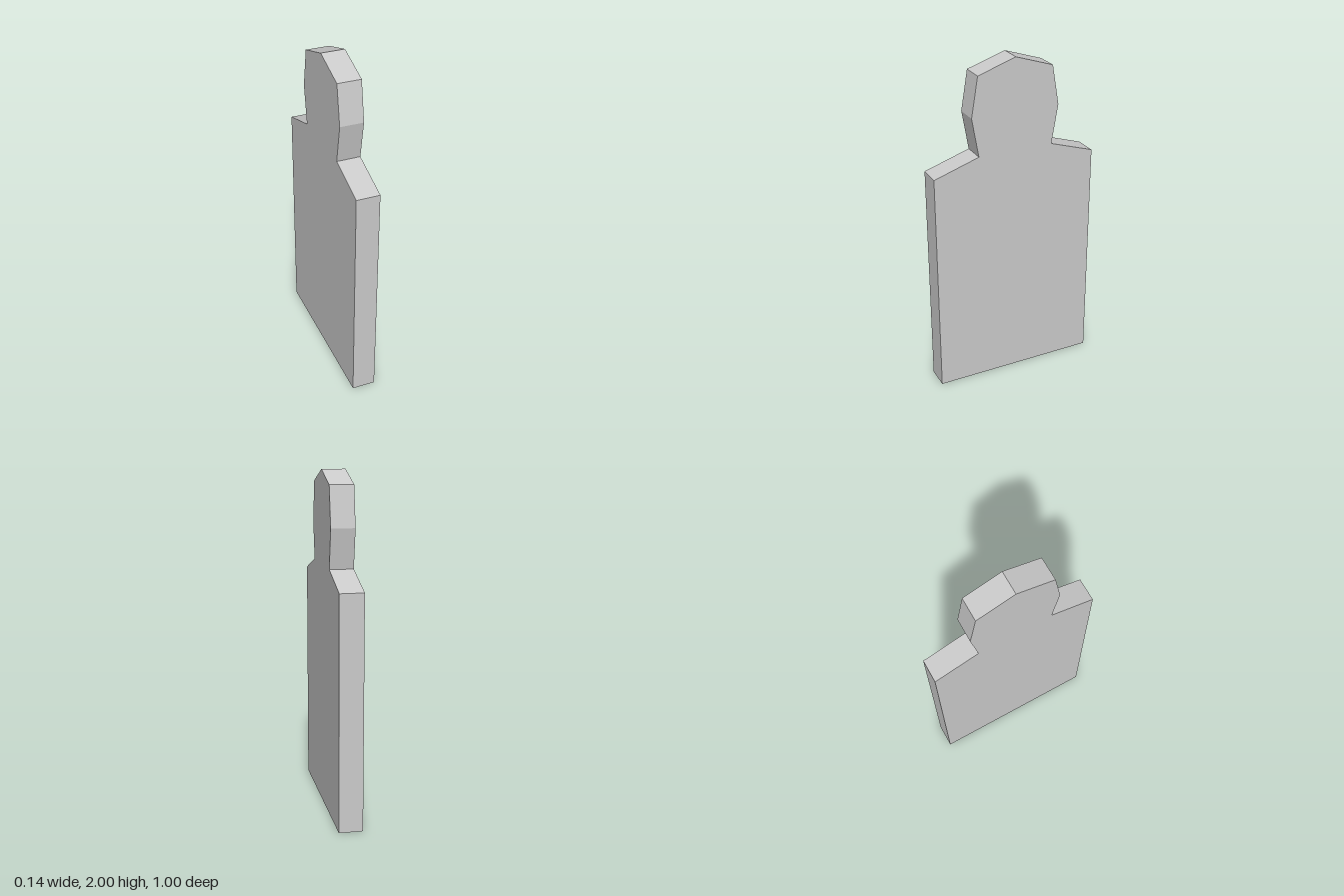
import * as THREE from 'three';

export function createModel() {
  const group = new THREE.Group();
  group.name = 'silhouetteTarget';
  const thickness = 0.14;

  // Half outline of torso, shoulder and head: [half width, height]
  const half = [[0.5, 0], [0.5, 1.37], [0.228, 1.458], [0.268, 1.69], [0.228, 1.925]];
  const mirrored = half.map(([w, y]) => [-w, y]).reverse();
  const outline = [...half, [0, 2], ...mirrored].map(([w, y]) => new THREE.Vector2(w, y));

  // Flat board, extruded and turned so its broad faces look along x
  const geometry = new THREE.ExtrudeGeometry(new THREE.Shape(outline), {
    depth: thickness,
    bevelEnabled: false,
  });
  geometry.translate(0, 0, -thickness / 2);
  geometry.rotateY(Math.PI / 2);

  const board = new THREE.Mesh(
    geometry,
    new THREE.MeshStandardMaterial({ color: 0xcccccc, flatShading: true })
  );
  board.name = 'board';
  group.add(board);
  return group;
}
